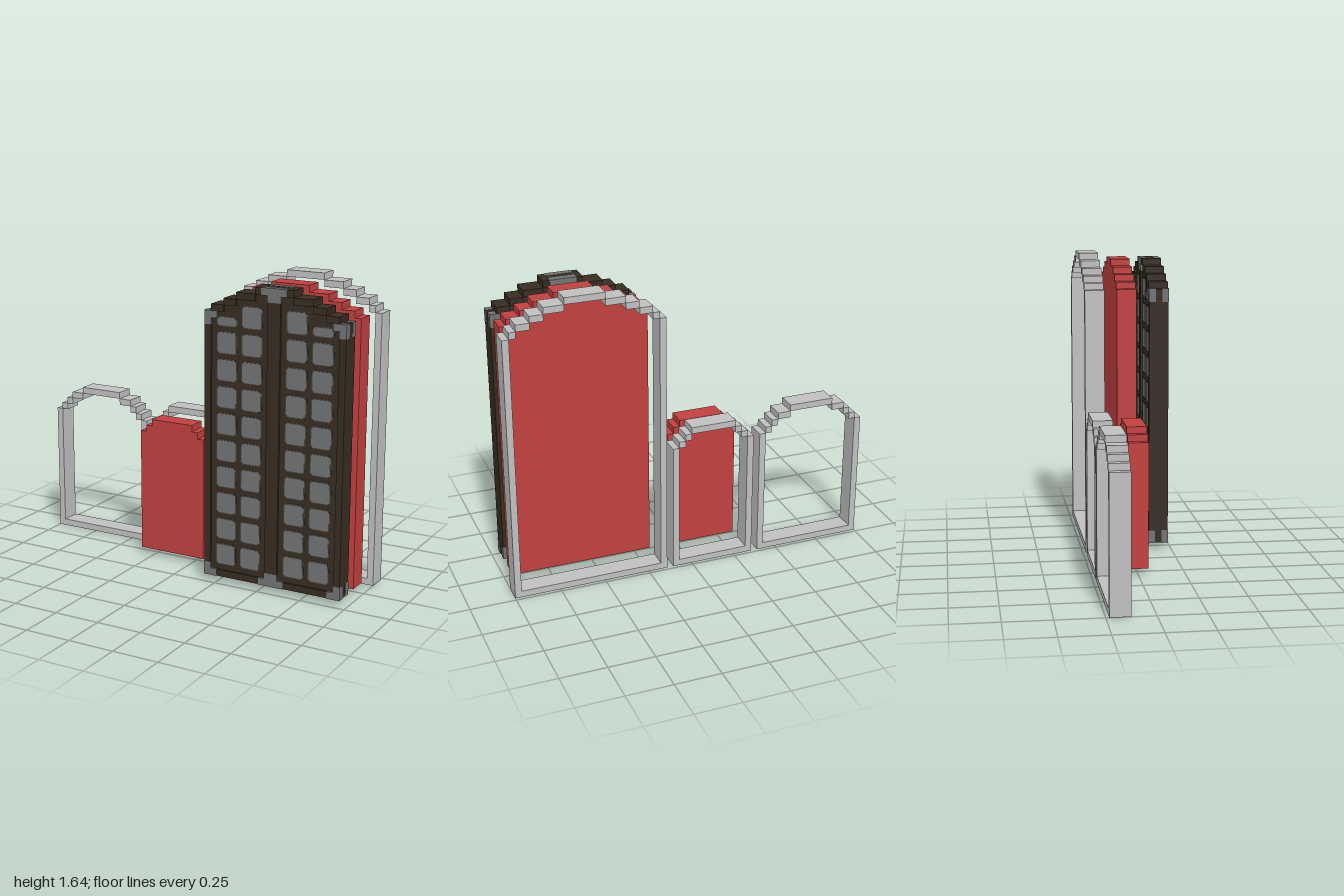
import * as THREE from 'three';

const V = 1 / 28; // one block unit; all sizes below are in blocks

const mat = (name, color) => {
  const m = new THREE.MeshStandardMaterial({ color });
  m.name = name;
  return m;
};

export function createModel() {
  const stone = mat('light grey frame', 0xc0c0c0);
  const red = mat('red panel', 0xc24040);
  const wood = mat('dark brown wood', 0x372d22);
  const steel = mat('grey metal', 0x727374);
  const shade = mat('dark grey rim', 0x4a4845);

  const group = (name, parent) => {
    const g = new THREE.Group();
    g.name = name;
    parent.add(g);
    return g;
  };

  // Box given by its corners in block units
  const box = (parent, name, m, x0, x1, y0, y1, z0, z1) => {
    const geo = new THREE.BoxGeometry((x1 - x0) * V, (y1 - y0) * V, (z1 - z0) * V);
    const mesh = new THREE.Mesh(geo, m);
    mesh.position.set((x0 + x1) / 2 * V, (y0 + y1) / 2 * V, (z0 + z1) / 2 * V);
    mesh.name = name;
    parent.add(mesh);
  };

  // Calls fn(x0, x1, level) for each step of a symmetric stepped arch
  const eachStep = (x, widths, fn) => {
    widths.forEach((w, i) => {
      fn(x, x + w, Math.min(i, widths.length - 1 - i));
      x += w;
    });
    return x;
  };

  // Open arched frame: sill, two posts and stepped arch
  const frame = (parent, m, x, y, base, widths, z, h) => {
    const end = eachStep(x, widths, (a, b, k) =>
      box(parent, 'archStep', m, a, b, base + k, base + k + 1, z - h, z + h));
    box(parent, 'post', m, x - 1, x, y, base, z - h, z + h);
    box(parent, 'post', m, end, end + 1, y, base, z - h, z + h);
    box(parent, 'sill', m, x, end, y, y + 1, z - h, z + h);
  };

  // Solid slab with a stepped arched top
  const slab = (parent, name, m, x, base, widths, z, h) => {
    const s = new THREE.Shape();
    s.moveTo(x * V, V);
    const end = eachStep(x, widths, (a, b, k) => {
      s.lineTo(a * V, (base + k) * V);
      s.lineTo(b * V, (base + k) * V);
    });
    s.lineTo(end * V, V);
    const geo = new THREE.ExtrudeGeometry(s, { depth: 2 * h * V, bevelEnabled: false });
    const mesh = new THREE.Mesh(geo, m);
    mesh.position.z = (z - h) * V;
    mesh.name = name;
    parent.add(mesh);
  };

  // Rectangle with clipped corners, running through the door
  const pane = (parent, name, m, x0, x1, y0, y1, c, z, h) => {
    const pts = [[x0 + c, y0], [x1 - c, y0], [x1, y0 + c], [x1, y1 - c],
      [x1 - c, y1], [x0 + c, y1], [x0, y1 - c], [x0, y0 + c]];
    const s = new THREE.Shape(pts.map(([a, b]) => new THREE.Vector2(a * V, b * V)));
    const geo = new THREE.ExtrudeGeometry(s, { depth: 2 * h * V, bevelEnabled: false });
    const mesh = new THREE.Mesh(geo, m);
    mesh.position.z = (z - h) * V;
    mesh.name = name;
    parent.add(mesh);
  };

  const root = new THREE.Group();
  root.name = 'archedDoorSet';
  const large = [1, 2, 2, 3, 6, 3, 2, 2, 1];
  const small = [1, 1, 7, 1, 1];
  const medium = [1, 1, 2, 7, 2, 1, 1];

  // Back row: three empty frames
  frame(group('largeFrame', root), stone, 5, 0, 41, large, -5, 1.5);
  frame(group('smallFrame', root), stone, -9, 0, 20, small, -5, 1.5);
  frame(group('mediumFrame', root), stone, -27, 0, 20, medium, -5, 1.5);

  // Middle row: solid red panels
  slab(root, 'largeRedPanel', red, 5, 41, large, 0, 1.5);
  slab(root, 'smallRedPanel', red, -9, 20, small, 0, 1.5);

  // Front row: panelled double door
  const door = group('panelledDoor', root);
  const Z = 5;
  slab(door, 'doorCore', wood, 5, 41, large, Z, 1.2);
  const border = group('doorBorder', door);
  frame(border, wood, 6, 1, 41, large.slice(1, -1), Z, 1.5);
  box(border, 'centreStile', wood, 15, 17, 2, 44, Z - 1.5, Z + 1.5);

  // Panes in four columns, the outer top ones cut short by the arch
  const panes = group('panes', door);
  [7, 11, 18, 22].forEach((x, col) => {
    for (let row = 0; row < 10; row++) {
      const y = 3 + row * 4;
      const top = row === 9 && (col === 0 || col === 3) ? y + 1.2 : y + 3;
      pane(panes, 'paneRim', shade, x - 0.15, x + 3.15, y - 0.15, top + 0.15, 0.4, Z, 1.25);
      pane(panes, 'pane', steel, x, x + 3, y, top, 0.3, Z, 1.3);
    }
  });

  // Metal fittings on both faces, wrapping the corners and the centre
  const fittings = group('metalFittings', door);
  const e = 0.05;
  for (const side of [-1, 1]) {
    const z0 = side > 0 ? Z + 0.5 : Z - 1.5 - e;
    const z1 = z0 + 1 + e;
    const plate = (name, x0, x1, y0, y1) => box(fittings, name, steel, x0, x1, y0, y1, z0, z1);
    for (const mirror of [false, true]) {
      const corner = (a, b, y0, y1) =>
        plate('cornerPlate', mirror ? 32 - b : a, mirror ? 32 - a : b, y0, y1);
      corner(5 - e, 6 + e, 1 - e, 3);
      corner(6, 7, 1 - e, 2 + e);
      corner(5 - e, 6 + e, 39, 41 + e);
      corner(6, 7, 40, 41);
    }
    plate('centrePlate', 14, 18, 1 - e, 2 + e);
    plate('centrePlate', 15 - e, 17 + e, 2, 3);
    plate('centrePlate', 14, 18, 44 - e, 45 + e);
    plate('centrePlate', 15 - e, 17 + e, 43, 44);
  }

  return root;
}
